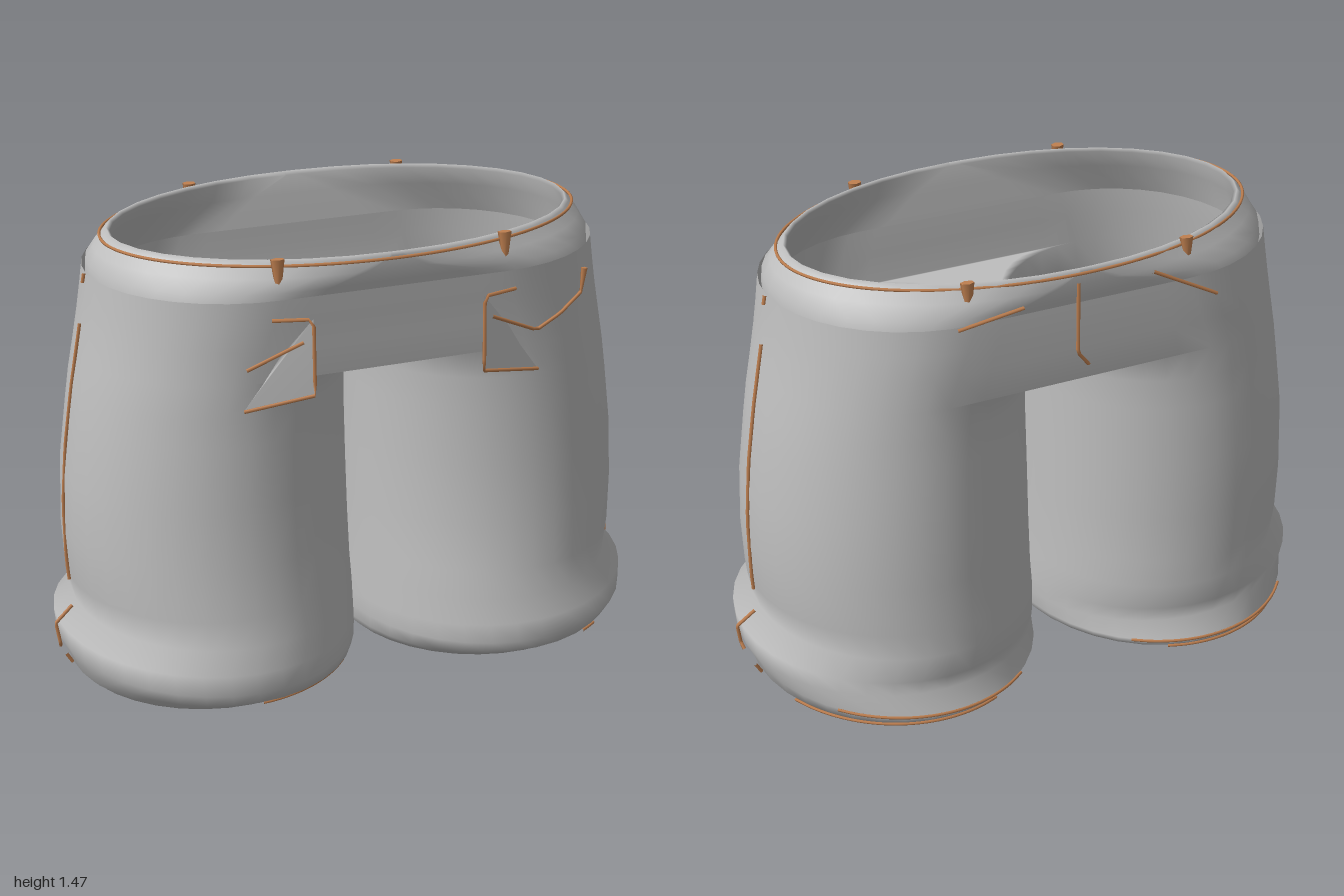
import * as THREE from 'three';
import { mergeVertices } from 'three/addons/utils/BufferGeometryUtils.js';

const V = (x, y, z) => new THREE.Vector3(x, y, z);
const HALF = 18;   // segments of half a leg ring
const MID = 8;     // segments between the two legs

// Point on a level [y, inner x, outer x, front z, back z, tilt] of the model's left leg
function legPoint([y, xin, xout, zf, zb, tilt = 0], t, grow = 0) {
  const s = Math.sin(t), c = Math.cos(t);
  return V((xin + xout) / 2 + ((xout - xin) / 2 + grow) * c,
    y + tilt * c, ((s > 0 ? zf : zb) + grow) * s);
}

function legRing(level) {
  return Array.from({ length: 4 * HALF / 2 + 1 }, (_, i) =>
    legPoint(level, -Math.PI / 2 + i * Math.PI / HALF));
}

// Ring around both legs: two half ellipses joined by straight runs
function hullRing(level) {
  const right = legRing(level).slice(0, HALF + 1);
  const left = right.map(p => V(-p.x, p.y, p.z)).reverse();
  const ring = [...right];
  for (let i = 1; i < MID; i++) ring.push(right[HALF].clone().lerp(left[0], i / MID));
  ring.push(...left);
  for (let i = 1; i <= MID; i++) ring.push(left[HALF].clone().lerp(right[0], i / MID));
  return ring;
}

// Adds quads between rows of points to a triangle list
function addRows(out, rows, flip = false) {
  const tri = (a, b, c) => (flip ? [a, c, b] : [a, b, c]).forEach(p => out.push(p.x, p.y, p.z));
  for (let j = 0; j + 1 < rows.length; j++) {
    for (let i = 0; i + 1 < rows[j].length; i++) {
      const a = rows[j][i], b = rows[j][i + 1], c = rows[j + 1][i], d = rows[j + 1][i + 1];
      tri(a, b, c);
      tri(b, d, c);
    }
  }
}

function smooth(positions) {
  const g = new THREE.BufferGeometry();
  g.setAttribute('position', new THREE.Float32BufferAttribute(positions, 3));
  const merged = mergeVertices(g, 1e-4);
  merged.computeVertexNormals();
  return merged;
}

export function createModel() {
  const group = new THREE.Group();
  const cloth = new THREE.MeshStandardMaterial({ color: 0xbebebe, side: THREE.DoubleSide });
  cloth.name = 'grey cloth';
  const thread = new THREE.MeshStandardMaterial({ color: 0xc08050 });
  thread.name = 'orange thread';

  const add = (name, geometry, material) => {
    const mesh = new THREE.Mesh(geometry, material);
    mesh.name = name;
    group.add(mesh);
    return mesh;
  };
  const stitch = (name, points, closed = false, r = 0.006) => {
    const curve = new THREE.CatmullRomCurve3(points, closed, 'catmullrom', points.length > 8 ? 0.5 : 0);
    return add(name, new THREE.TubeGeometry(curve, Math.max(16, points.length * 3), r, 5, closed), thread);
  };

  // Hips, crotch and legs as one smooth cloth surface
  const split = [1.1, 0.02, 0.88, 0.44, 0.468];
  const hips = [
    [1.36, -0.12, 0.84, 0.455, 0.47],
    [1.28, -0.07, 0.85, 0.45, 0.472],
    [1.2, -0.02, 0.862, 0.443, 0.47],
    split,
  ];
  const legs = [
    split,
    [1.0, 0.025, 0.9, 0.44, 0.47],
    [0.9, 0.025, 0.915, 0.445, 0.475],
    [0.7, 0.02, 0.942, 0.455, 0.49],
    [0.5, 0.015, 0.95, 0.475, 0.497],
    [0.34, 0.01, 0.942, 0.5, 0.503],
    [0.25, 0.005, 0.925, 0.52, 0.51],
    [0.17, 0.0, 0.99, 0.542, 0.515, 0.02],
    [0.11, 0.0, 0.985, 0.56, 0.495, 0.015],
    [0.06, 0.005, 0.96, 0.53, 0.55, 0.01],
    [0.025, 0.015, 0.945, 0.47, 0.53],
    [0.01, 0.03, 0.93, 0.45, 0.46],
    [0.03, 0.05, 0.905, 0.43, 0.44],
    [0.14, 0.04, 0.92, 0.45, 0.45],
  ];
  const body = [];
  addRows(body, hips.map(hullRing));
  const rings = legs.map(legRing);
  addRows(body, rings);
  addRows(body, rings.map(r => r.map(p => V(-p.x, p.y, p.z))), true);
  const inner = rings[0].slice(HALF);
  const floor = inner.map(p => Array.from({ length: MID + 1 }, (_, i) =>
    V(p.x * (2 * i / MID - 1), p.y, p.z)));
  addRows(body, floor.reverse());
  add('hipsAndLegs', smooth(body), cloth);

  // Waistband with a folded top rim
  const band = [
    [1.3, -0.08, 0.80, 0.43, 0.43],
    [1.4, -0.4, 0.775, 0.44, 0.44],
    [1.462, -0.7, 0.75, 0.45, 0.45],
    [1.472, -0.72, 0.76, 0.46, 0.468],
    [1.46, -0.72, 0.772, 0.465, 0.475],
    [1.42, -0.55, 0.805, 0.464, 0.474],
    [1.38, -0.25, 0.828, 0.457, 0.47],
    [1.33, -0.12, 0.83, 0.445, 0.46],
  ];
  const bandPositions = [];
  addRows(bandPositions, band.map(hullRing));
  add('waistband', smooth(bandPositions), cloth);

  // Seam line around the waist
  stitch('waistStitch', Array.from({ length: 48 }, (_, i) => {
    const a = i * Math.PI / 24;
    return V(0.784 * Math.cos(a), 1.456, 0.476 * Math.sin(a));
  }), true, 0.005);

  for (const side of [1, -1]) {
    const name = side > 0 ? 'left' : 'right';
    const M = pts => pts.map(([x, y, z]) => V(side * x, y, z));

    // Tapered belt loops, front and back
    for (const face of [1, -1]) {
      const loop = add(name + (face > 0 ? 'FrontBeltLoop' : 'BackBeltLoop'),
        new THREE.CylinderGeometry(0.023, 0.009, 0.095, 6), thread);
      loop.scale.z = 0.7;
      loop.position.set(side * 0.37, 1.432, face * 0.43);
      loop.rotation.x = face * -0.08;
    }

    // Side seam in separate runs
    const seam = levels => levels.map(([x, y, z]) => [x + 0.004, y, z]);
    stitch(name + 'SideSeamTop', M(seam([[0.842, 1.36, -0.005], [0.848, 1.33, -0.005]])));
    stitch(name + 'SideSeam', M(seam([[0.863, 1.2, -0.005], [0.9, 1, -0.005], [0.93, 0.8, -0.005],
      [0.947, 0.6, -0.005], [0.947, 0.4, -0.004], [0.942, 0.33, 0]])));
    stitch(name + 'SideSeamHem', M(seam([[0.94, 0.24, 0.01], [1.0, 0.19, 0.02],
      [0.99, 0.12, 0.027], [0.985, 0.1, 0.01]])));
    stitch(name + 'SideSeamEnd', M([[0.965, 0.05, -0.02], [0.945, 0.015, -0.02]]));

    // Front pocket flap standing off the cloth, with its stitching
    const outline = [[0.28, 1.3, 0.485], [0.28, 1.06, 0.495], [0.49, 1.02, 0.447],
      [0.43, 1.1, 0.452], [0.38, 1.18, 0.46], [0.32, 1.22, 0.475]];
    const flap = [];
    for (let i = 1; i < outline.length - 1; i++) {
      const t = [outline[0], outline[i], outline[i + 1]];
      M(side > 0 ? t : [t[0], t[2], t[1]]).forEach(p => flap.push(p.x, p.y, p.z));
    }
    add(name + 'PocketFlap', smooth(flap), cloth);
    stitch(name + 'PocketEdge', M([[0.4, 1.3, 0.455], [0.28, 1.3, 0.487], [0.28, 1.06, 0.497], [0.49, 1.02, 0.45]]));
    const mouth = [[0.31, 1.23, 0.483], [0.48, 1.152, 0.452]];
    if (side > 0) mouth.push([0.57, 1.19, 0.435], [0.66, 1.235, 0.395]);
    stitch(name + 'PocketMouth', M(mouth));
    if (side > 0) {
      const mark = add('pocketMark', new THREE.CylinderGeometry(0.011, 0.004, 0.085, 5), thread);
      mark.position.set(0.675, 1.265, 0.375);
      mark.rotation.z = -0.1;
    }

    // Hem stitching, broken into arcs
    const arc = (label, level, from, to, grow) => stitch(name + label,
      Array.from({ length: 12 }, (_, i) => {
        const p = legPoint(level, THREE.MathUtils.degToRad(from + (to - from) * i / 11), grow);
        p.x *= side;
        return p;
      }), false, 0.005);
    arc('BackHemStitch', legs[9], -125, -45, 0.004);
    arc('BackHemLowerStitch', legs[10], -110, -25, 0.004);
    if (side > 0) arc('FrontHemStitch', legs[9], 58, 66, 0.003);
    else arc('FrontHemStitch', [0.045, 0.01, 0.952, 0.505, 0.54], 92, 138, 0.004);
  }

  // Back centre seam and the two yoke lines
  stitch('backCentreSeam', [V(0.03, 1.43, -0.48), V(0.03, 1.2, -0.482), V(-0.01, 1.15, -0.48)]);
  stitch('backLeftYoke', [V(0.42, 1.35, -0.466), V(0.21, 1.385, -0.478)]);
  stitch('backRightYoke', [V(-0.23, 1.41, -0.474), V(-0.46, 1.29, -0.475)]);

  return group;
}
